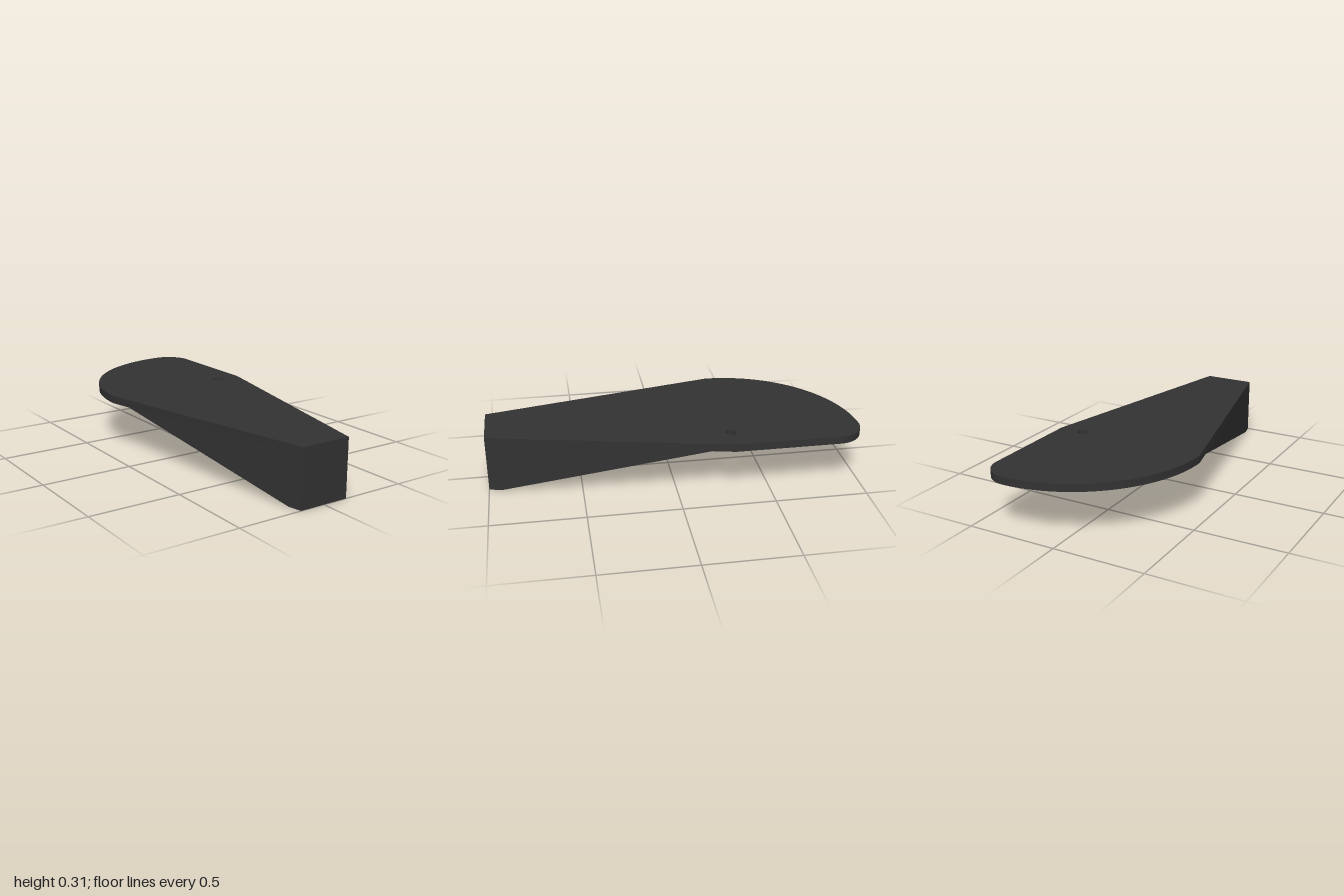
import * as THREE from 'three';
import { toCreasedNormals } from 'three/addons/utils/BufferGeometryUtils.js';

const TOP = 0.315, UNDER = 0.273;       // plate faces
const TIP = 0.1415, WIDE = 0.4245;      // half widths at the front and the back
const SHOULDER = -0.2925;               // z where the taper ends
const LIP = 0.929;                      // z of the front wall's inner face
const SIDE = 0.0725;                    // side wall thickness along x
const halfWidth = (z) => TIP + (WIDE - TIP) * (1 - z) / (1 - SHOULDER);

// Extrudes a plan shape (x, -z) upwards from y0 to y1
function slab(shape, y0, y1) {
  const geo = new THREE.ExtrudeGeometry(shape, { depth: y1 - y0, bevelEnabled: false, curveSegments: 40 });
  geo.rotateX(-Math.PI / 2).translate(0, y0, 0);
  return toCreasedNormals(geo, 0.5);
}

// Wedge-shaped wall following the tapered edge; side is 1 or -1
function sideWallGeometry(side) {
  const profile = new THREE.Shape([[1, 0], [1, UNDER], [-0.17, UNDER], [LIP, 0]]
    .map(([z, y]) => new THREE.Vector2(z, y)));
  const geo = new THREE.ExtrudeGeometry(profile, { depth: SIDE, bevelEnabled: false });
  geo.rotateY(-Math.PI / 2);
  const p = geo.attributes.position;
  for (let i = 0; i < p.count; i++) {
    const edge = halfWidth(p.getZ(i));
    p.setX(i, p.getX(i) + (side > 0 ? edge : SIDE - edge));
  }
  geo.computeVertexNormals();
  return geo;
}

export function createModel() {
  const group = new THREE.Group();
  const material = new THREE.MeshStandardMaterial({ color: 0x333333 });
  const add = (name, geo) => {
    const mesh = new THREE.Mesh(geo, material);
    mesh.name = name;
    group.add(mesh);
  };

  // Top plate: tapered front, one small and one large rounded back corner, pin hole
  const cx = WIDE - TIP;
  const outline = new THREE.Shape();
  outline.moveTo(-TIP, -1);
  outline.lineTo(TIP, -1);
  outline.lineTo(WIDE, -SHOULDER);
  outline.lineTo(WIDE, 1 - TIP);
  outline.absarc(cx, 1 - TIP, TIP, 0, Math.PI / 2);
  outline.absarc(cx, -SHOULDER, 1 + SHOULDER, Math.PI / 2, Math.PI);
  outline.closePath();
  const hole = new THREE.Path();
  hole.absarc(cx, -SHOULDER, 0.0283, 0, Math.PI * 2, true);
  outline.holes.push(hole);
  add('topPlate', slab(outline, UNDER, TOP));

  // Side walls
  add('leftWall', sideWallGeometry(1));
  add('rightWall', sideWallGeometry(-1));

  // Front wall fitted between the side walls
  const a = TIP - SIDE, b = halfWidth(LIP) - SIDE;
  const front = new THREE.Shape([[-a, -1], [a, -1], [b, -LIP], [-b, -LIP]]
    .map(([x, v]) => new THREE.Vector2(x, v)));
  add('frontWall', slab(front, 0, UNDER));

  return group;
}
